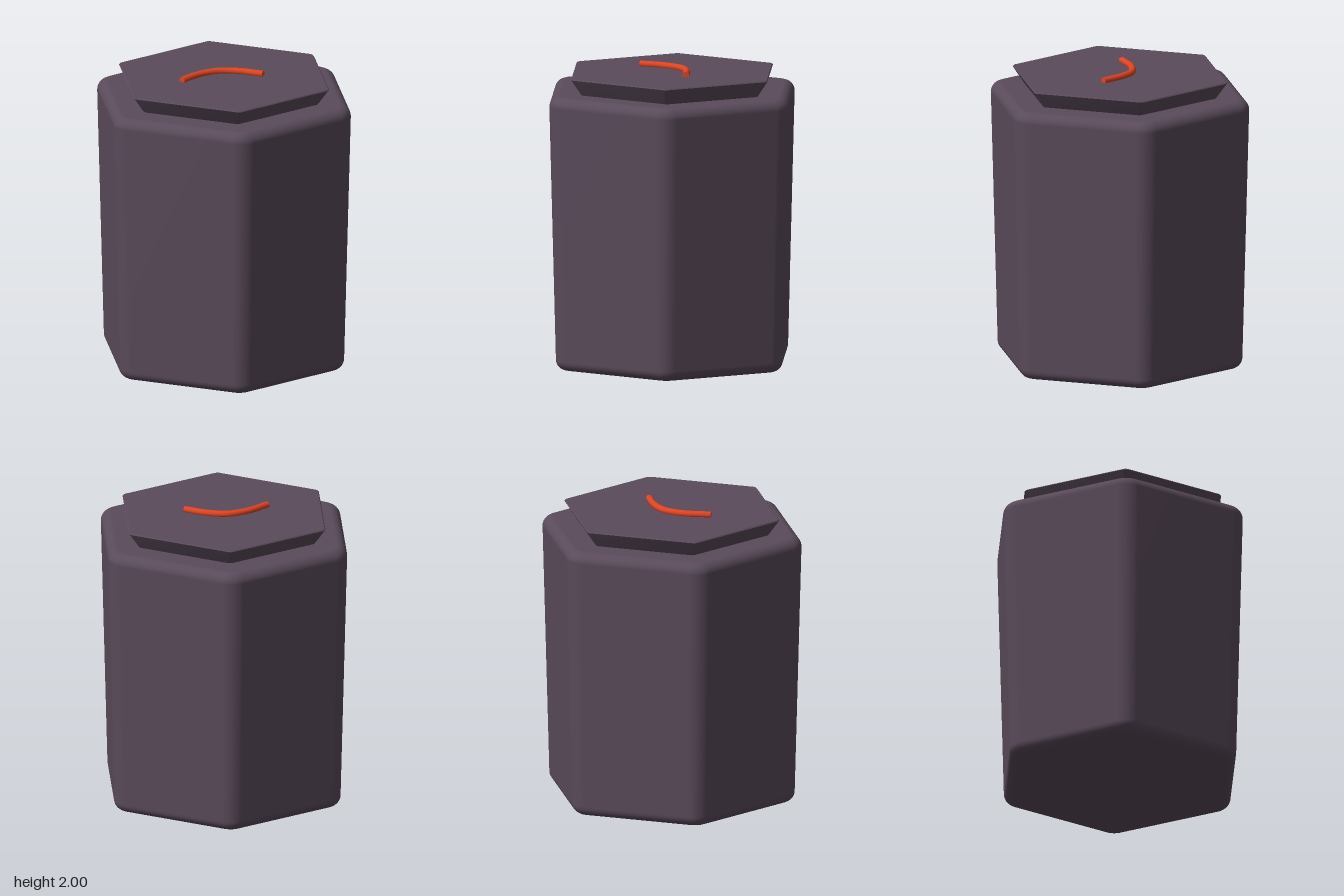
import * as THREE from 'three';
import { toCreasedNormals } from 'three/addons/utils/BufferGeometryUtils.js';

const ARC = 8; // steps around each rounded corner

// Hexagon with rounded corners pointing along z; a = half width across flats, r = corner radius
function hexRing(a, r, y) {
  const points = [];
  const d = (a - r) * 2 / Math.sqrt(3);
  for (let k = 0; k < 6; k++) {
    const mid = Math.PI / 6 + k * Math.PI / 3;
    for (let i = 0; i <= ARC; i++) {
      const t = mid + (i / ARC - 0.5) * Math.PI / 3;
      points.push(d * Math.cos(mid) + r * Math.cos(t), y, -d * Math.sin(mid) - r * Math.sin(t));
    }
  }
  return points;
}

// Closed loft through rings given from bottom to top as [a, r, y]
function hexLoft(rings) {
  const n = 6 * (ARC + 1);
  const pos = rings.flatMap(([a, r, y]) => hexRing(a, r, y));
  const last = rings.length - 1;
  const bottom = rings.length * n;
  pos.push(0, rings[0][2], 0, 0, rings[last][2], 0);
  const index = [];
  for (let j = 0; j < n; j++) {
    const k = (j + 1) % n;
    for (let i = 0; i < last; i++) {
      const a = i * n + j, b = i * n + k;
      index.push(a, b, b + n, a, b + n, a + n);
    }
    index.push(bottom, k, j, bottom + 1, last * n + j, last * n + k);
  }
  const geo = new THREE.BufferGeometry();
  geo.setAttribute('position', new THREE.Float32BufferAttribute(pos, 3));
  geo.setIndex(index);
  geo.computeVertexNormals();
  return geo;
}

export function createModel() {
  const group = new THREE.Group();
  const plum = new THREE.MeshStandardMaterial({ name: 'dark plum', color: 0x5a4b5b });
  const orange = new THREE.MeshStandardMaterial({ name: 'bright orange', color: 0xe04420 });
  const add = (name, geo, mat, parent = group) => {
    const mesh = new THREE.Mesh(geo, mat);
    mesh.name = name;
    parent.add(mesh);
    return mesh;
  };

  // Tapered body with soft rims at the bottom and top
  const rim = 0.07, height = 1.85, steps = 8;
  const rings = [];
  for (let i = 0; i <= steps; i++) {
    const t = i / steps * Math.PI / 2;
    const inset = rim * (1 - Math.sin(t));
    rings.push([0.757 - inset, 0.13 - inset, rim * (1 - Math.cos(t))]);
  }
  for (let i = 0; i <= steps; i++) {
    const t = i / steps * Math.PI / 2;
    const inset = rim * (1 - Math.cos(t));
    rings.push([0.8 - inset, 0.15 - inset, height - rim * (1 - Math.sin(t))]);
  }
  add('body', hexLoft(rings), plum);

  // Flared lid with a thin bevelled edge
  const lid = hexLoft([
    [0.585, 0.035, 1.845],
    [0.652, 0.04, 1.95],
    [0.656, 0.04, 1.957],
    [0.65, 0.036, 1.964],
  ]);
  add('lid', toCreasedNormals(lid, 0.6), plum);

  // Curved handle lying on the lid, with capped ends
  const y = 1.977, radius = 0.023;
  const curve = new THREE.CatmullRomCurve3([
    [-0.295, 0.085], [-0.16, -0.025], [-0.01, -0.077], [0.125, -0.045], [0.26, 0.03],
  ].map(([x, z]) => new THREE.Vector3(x, y, z)));
  const handle = new THREE.Group();
  handle.name = 'handle';
  group.add(handle);
  add('handleRod', new THREE.TubeGeometry(curve, 40, radius, 12), orange, handle);
  for (const [name, t, dir] of [['handleRightEnd', 0, -1], ['handleLeftEnd', 1, 1]]) {
    const cap = add(name, new THREE.CircleGeometry(radius, 12), orange, handle);
    const p = curve.getPoint(t);
    cap.position.copy(p);
    cap.lookAt(p.clone().addScaledVector(curve.getTangent(t), dir));
  }
  return group;
}
